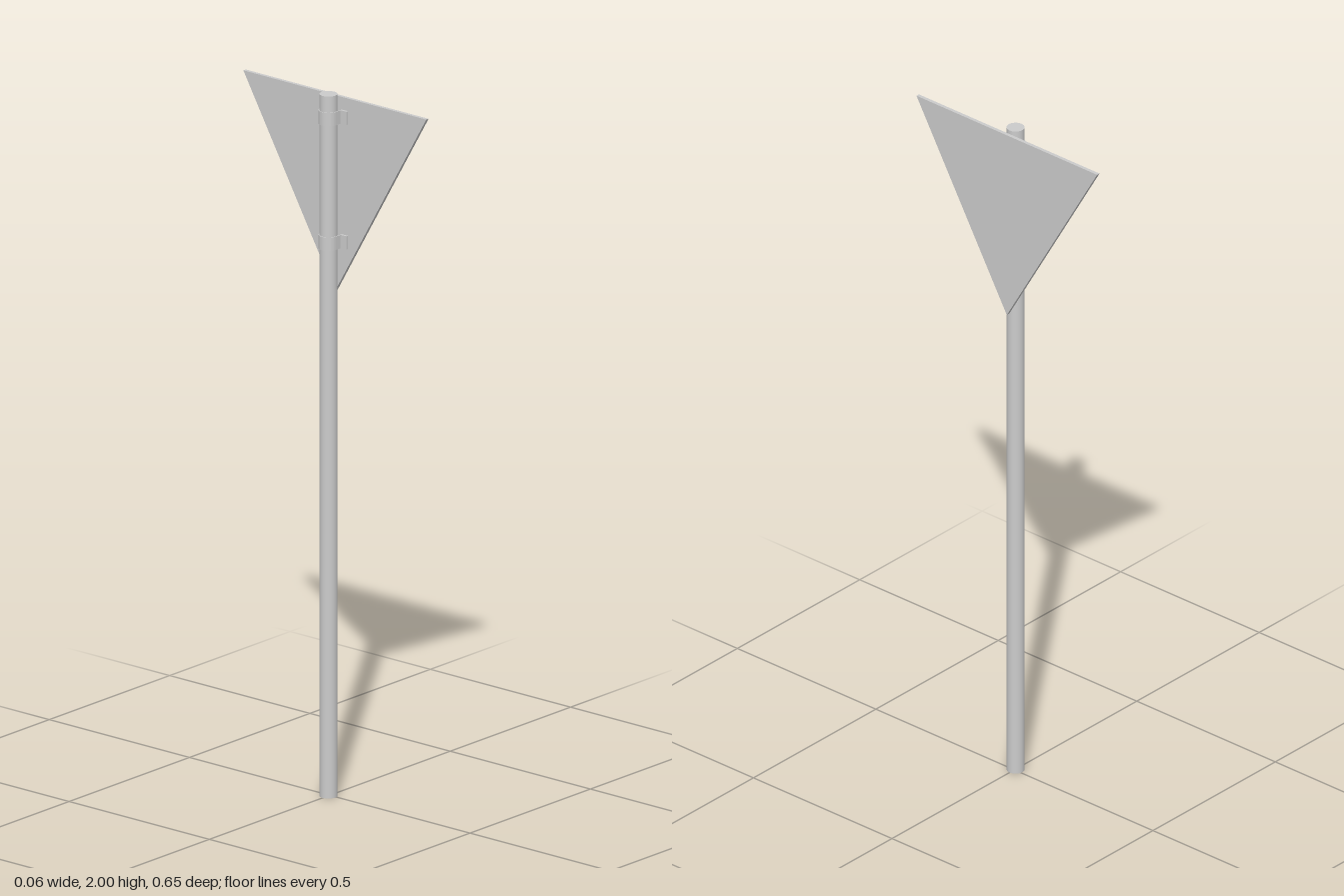
import * as THREE from 'three';

const POLE_X = -0.005;
const POLE_R = 0.0245;

export function createModel() {
  const group = new THREE.Group();
  const material = new THREE.MeshStandardMaterial({ color: 0xcccccc });
  const add = (name, geometry) => {
    const mesh = new THREE.Mesh(geometry, material);
    mesh.name = name;
    group.add(mesh);
    return mesh;
  };

  // Upright round pole
  add('pole', new THREE.CylinderGeometry(POLE_R, POLE_R, 2, 32)).position.set(POLE_X, 1, 0);

  // Thin triangular plate, point down, facing +x
  const triangle = new THREE.Shape([
    new THREE.Vector2(-0.326, 1.99),
    new THREE.Vector2(0, 1.43),
    new THREE.Vector2(0.326, 1.99),
  ]);
  const plate = new THREE.ExtrudeGeometry(triangle, { depth: 0.01, bevelEnabled: false });
  plate.rotateY(Math.PI / 2);
  add('signPlate', plate).position.x = 0.021;

  // U-shaped clamps wrap the pole, with flanges against the plate
  const outer = 0.0272, inner = 0.0247, back = 0.021, flangeX = 0.014, flangeZ = 0.047;
  const profile = new THREE.Shape();
  profile.moveTo(back, flangeZ);
  profile.lineTo(flangeX, flangeZ);
  profile.lineTo(flangeX, outer);
  profile.lineTo(POLE_X, outer);
  profile.absarc(POLE_X, 0, outer, Math.PI / 2, Math.PI * 1.5, false);
  profile.lineTo(flangeX, -outer);
  profile.lineTo(flangeX, -flangeZ);
  profile.lineTo(back, -flangeZ);
  profile.lineTo(back, -inner);
  profile.lineTo(POLE_X, -inner);
  profile.absarc(POLE_X, 0, inner, Math.PI * 1.5, Math.PI / 2, true);
  profile.lineTo(back, inner);
  const height = 0.038;
  const clamp = new THREE.ExtrudeGeometry(profile, { depth: height, bevelEnabled: false, curveSegments: 16 });
  clamp.translate(0, 0, -height / 2);
  clamp.rotateX(Math.PI / 2);
  add('upperClamp', clamp).position.y = 1.935;
  add('lowerClamp', clamp).position.y = 1.58;

  return group;
}
